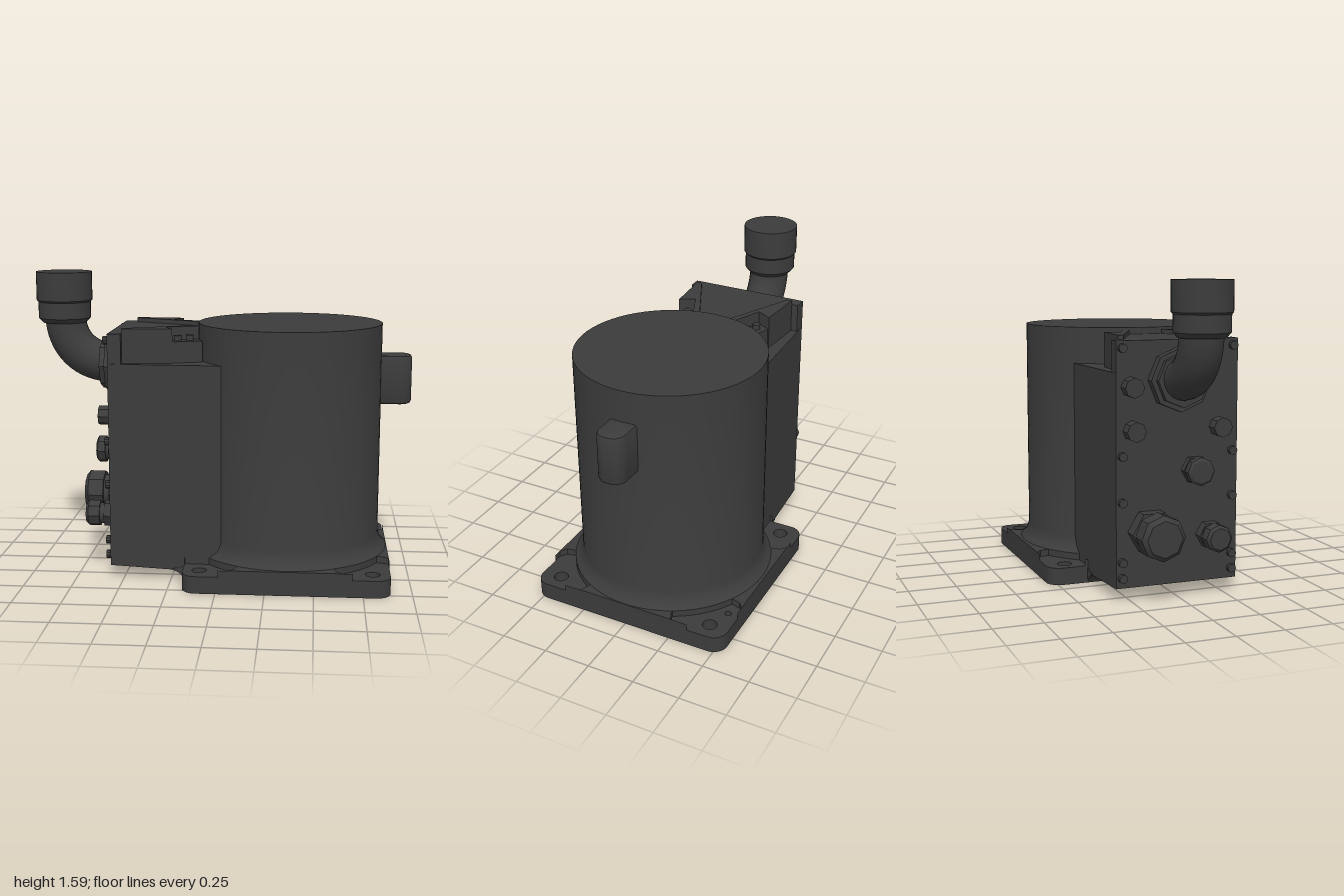
import * as THREE from 'three';
import { toCreasedNormals } from 'three/addons/utils/BufferGeometryUtils.js';

const material = new THREE.MeshStandardMaterial({ color: 0x3c3c3c, side: THREE.DoubleSide });
const CX = 0.357, R = 0.485; // barrel axis and radius

function add(parent, name, geometry, x = 0, y = 0, z = 0) {
  const mesh = new THREE.Mesh(toCreasedNormals(geometry, 0.6), material);
  mesh.name = name;
  mesh.position.set(x, y, z);
  parent.add(mesh);
  return mesh;
}

// Plan outline (x, z) raised from y0 to y1
function slab(shape, y0, y1, bevel = 0) {
  const g = new THREE.ExtrudeGeometry(shape, {
    depth: y1 - y0 - 2 * bevel, curveSegments: 12, bevelEnabled: bevel > 0,
    bevelSize: bevel, bevelOffset: -bevel, bevelThickness: bevel, bevelSegments: 2,
  });
  return g.rotateX(-Math.PI / 2).translate(0, y0 + bevel, 0);
}
const plan = (points) => new THREE.Shape(points.map(([x, z]) => new THREE.Vector2(x, -z)));
const mirrored = (half) => plan([...half, ...half.map(([x, z]) => [x, -z]).reverse()]);

// Turned part whose axis points towards -x; profile is [radius, distance]
function turnedOut(profile, sides) {
  const pts = profile.map(([r, d]) => new THREE.Vector2(r, d));
  return new THREE.LatheGeometry(pts, sides).rotateZ(Math.PI / 2);
}

function roundedPlate(x0, x1, w, r) {
  const s = new THREE.Shape();
  s.absarc(x1 - r, w - r, r, 0, Math.PI / 2);
  s.absarc(x0 + r, w - r, r, Math.PI / 2, Math.PI);
  s.absarc(x0 + r, -w + r, r, Math.PI, Math.PI * 1.5);
  s.absarc(x1 - r, -w + r, r, Math.PI * 1.5, Math.PI * 2);
  return s;
}

function hole(shape, x, z, r) {
  shape.holes.push(new THREE.Path().absarc(x, -z, r, 0, Math.PI * 2, true));
}

function buildBase(root) {
  const base = new THREE.Group();
  base.name = 'base';
  root.add(base);
  const x0 = -0.175, x1 = 0.89, w = 0.545;

  // Mounting flange with bolt holes
  const plate = roundedPlate(x0, x1, w, 0.075);
  for (const x of [-0.09, 0.8]) for (const z of [-0.44, 0.44]) hole(plate, x, z, 0.038);
  hole(plate, 0.68, -0.485, 0.017);
  hole(plate, 0.025, 0.48, 0.014);
  add(base, 'mountingFlange', slab(plate, 0, 0.09));

  // Raised deck with a round pocket scooped from each corner
  const deck = new THREE.Shape();
  const p = 0.2, b = Math.asin(0.105 / p), a = Math.asin(0.085 / p);
  deck.absarc(0.8, 0.44, p, -a, Math.PI / 2 + b - 2 * Math.PI, true);
  deck.absarc(-0.09, 0.44, p, Math.PI / 2 - b, -Math.PI / 2 - a - Math.PI / 2 + 2 * a, true);
  deck.absarc(-0.09, -0.44, p, Math.PI - a, -Math.PI / 2 + b, true);
  deck.absarc(0.8, -0.44, p, -Math.PI / 2 - b, a - 2 * Math.PI, true);
  // Each scoop runs through the barrel side of its corner
  const deckPoints = [];
  const scoop = (cx, cz, from, to) => {
    for (let i = 0; i <= 12; i++) {
      const t = from + (to - from) * i / 12;
      deckPoints.push([cx + p * Math.cos(t), cz + p * Math.sin(t)]);
    }
  };
  const H = Math.PI / 2;
  scoop(0.8, 0.44, -a - H + a + H - a, -3 * H + b);
  scoop(-0.09, 0.44, H - b, -H - a - H + 2 * a);
  scoop(-0.09, -0.44, H * 2 - a, -H + b);
  scoop(0.8, -0.44, -H - b + 4 * H, a);
  const clamped = deckPoints.map(([x, z]) =>
    [THREE.MathUtils.clamp(x, x0, x1), THREE.MathUtils.clamp(z, -w, w)]);
  add(base, 'raisedDeck', slab(plan(clamped), 0.085, 0.125));
}

function buildBody(root) {
  // Barrel with a flared foot
  const profile = [[0, 0.02], [0.53, 0.02], [0.53, 0.125], [0.51, 0.145], [0.495, 0.17],
    [R, 0.21], [R, 1.33], [0, 1.33]].map(([r, y]) => new THREE.Vector2(r, y));
  add(root, 'barrel', new THREE.LatheGeometry(profile, 64), CX);

  // Connection housing, its underside falling slightly towards the base
  const lower = slab(mirrored([[-0.57, 0.325], [0.02, 0.345], [0.2, 0.345]]), 0.045, 1.14);
  const pos = lower.attributes.position;
  for (let i = 0; i < pos.count; i++)
    if (pos.getY(i) < 0.1 && pos.getX(i) < -0.5) pos.setY(i, 0.068);
  lower.computeVertexNormals();
  add(root, 'housing', lower);
  add(root, 'housingTop', slab(mirrored([[-0.57, 0.325], [-0.5, 0.323], [-0.5, 0.265],
    [-0.13, 0.1], [0.1, 0.1]]), 1.14, 1.295));
  // Fairing between housing and base
  const fillet = new THREE.Shape();
  fillet.moveTo(-0.1, 0);
  fillet.lineTo(-0.175, 0);
  fillet.quadraticCurveTo(-0.195, 0.045, -0.25, 0.058);
  fillet.lineTo(-0.1, 0.1);
  add(root, 'housingFairing', new THREE.ExtrudeGeometry(fillet,
    { depth: 0.68, bevelEnabled: false, curveSegments: 6 }), 0, 0, -0.34);

  // Angled shoulder blocks with button panels, one each side
  for (const s of [1, -1]) {
    const side = new THREE.Group();
    side.name = s > 0 ? 'frontShoulder' : 'backShoulder';
    root.add(side);
    const outline = (pts) => plan((s > 0 ? pts : [...pts].reverse()).map(([x, z]) => [x, z * s]));
    add(side, 'shoulderBlock', slab(outline([[-0.5, 0.26], [-0.5, 0.288], [-0.24, 0.268],
      [-0.285, 0.19], [-0.12, 0.12], [-0.14, 0.09]]), 1.13, 1.318));
    add(side, 'buttonPanel', slab(outline([[-0.29, 0.18], [-0.24, 0.262], [-0.09, 0.21],
      [-0.13, 0.11]]), 1.13, 1.25));
    for (const [x, z] of [[-0.22, 0.205], [-0.16, 0.18]])
      add(side, 'button', new THREE.CylinderGeometry(0.02, 0.02, 0.03, 16), x, 1.262, z * s);
  }

  // Rounded lug on the far side of the barrel
  const lug = new THREE.Shape();
  lug.moveTo(0.8, -0.075);
  lug.lineTo(0.935, -0.075);
  lug.absarc(0.935, -0.01, 0.065, -Math.PI / 2, 0);
  lug.absarc(0.935, 0.01, 0.065, 0, Math.PI / 2);
  lug.lineTo(0.8, 0.075);
  add(root, 'sideLug', slab(lug, 0.905, 1.165, 0.018));
}

function buildElbow(root) {
  const elbow = new THREE.Group();
  elbow.name = 'elbowConnector';
  root.add(elbow);
  add(elbow, 'elbowFlange', turnedOut([[0, 0], [0.16, 0], [0.16, 0.05], [0.135, 0.05],
    [0.135, 0.08], [0, 0.08]], 8), -0.57, 1.1);
  const path = new THREE.CubicBezierCurve3(new THREE.Vector3(-0.6, 1.105, 0),
    new THREE.Vector3(-0.74, 1.105, 0), new THREE.Vector3(-0.845, 1.2, 0),
    new THREE.Vector3(-0.848, 1.35, 0));
  add(elbow, 'elbowPipe', new THREE.TubeGeometry(path, 16, 0.108, 20));
  const cap = [[0, 1.32], [0.115, 1.32], [0.139, 1.345], [0.139, 1.43], [0.148, 1.44],
    [0.148, 1.59], [0, 1.59]].map(([r, y]) => new THREE.Vector2(r, y));
  add(elbow, 'elbowCap', new THREE.LatheGeometry(cap, 32), -0.852);
}

function buildConnectors(root) {
  const panel = new THREE.Group();
  panel.name = 'connectorPanel';
  root.add(panel);
  const X = -0.57;

  // Cable glands: hexagonal foot, round neck, hexagonal nut
  for (const [y, z, r, len] of [[0.35, -0.15, 0.115, 0.21], [0.31, 0.17, 0.07, 0.15],
    [0.645, 0.09, 0.072, 0.1]]) {
    const gland = new THREE.Group();
    gland.name = 'cableGland';
    gland.position.set(X, y, z);
    panel.add(gland);
    add(gland, 'glandFoot', turnedOut([[0, 0], [r, 0], [r, len * 0.35], [0, len * 0.35]], 6));
    add(gland, 'glandNeck', turnedOut([[0, 0], [r * 0.8, 0], [r * 0.8, len * 0.6], [0, len * 0.6]], 20));
    add(gland, 'glandNut', turnedOut([[0, len * 0.5], [r, len * 0.5], [r, len * 0.9],
      [r * 0.8, len], [0, len]], 8));
  }

  // Blanking plugs
  for (const [y, z] of [[0.855, -0.24], [1.07, -0.25], [0.855, 0.22]])
    add(panel, 'blankingPlug', turnedOut([[0, 0], [0.05, 0], [0.05, 0.065], [0, 0.065]], 8), X, y, z);

  // Cover screws down both edges
  for (const z of [-0.295, 0.295]) for (const y of [0.12, 0.2, 0.5, 0.73, 1.26])
    add(panel, 'coverScrew', turnedOut([[0, 0], [0.022, 0], [0.022, 0.025], [0, 0.025]], 10), X, y, z);
}

export function createModel() {
  const root = new THREE.Group();
  root.name = 'motorUnit';
  buildBase(root);
  buildBody(root);
  buildElbow(root);
  buildConnectors(root);
  return root;
}
